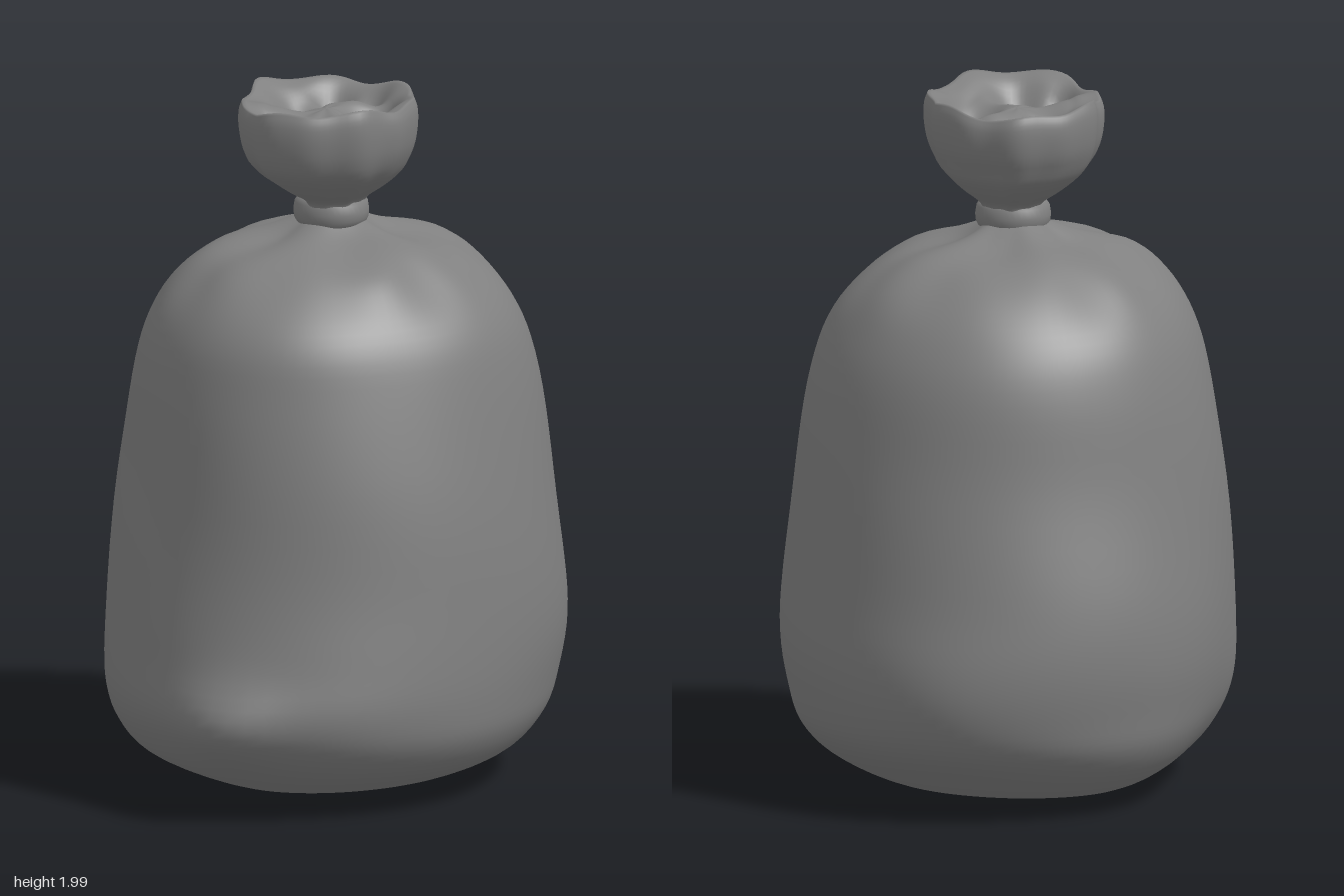
import * as THREE from 'three';

const TAU = Math.PI * 2;
const material = new THREE.MeshStandardMaterial({ color: 0x808080, side: THREE.DoubleSide });

// Smooth closed-ring surface: point(a, t) with angle a and t from 0 to 1
function loft(name, segments, rows, point) {
  const pos = [], index = [];
  for (let j = 0; j <= rows; j++) {
    for (let i = 0; i < segments; i++) pos.push(...point((i / segments) * TAU, j / rows));
  }
  for (let j = 0; j < rows; j++) {
    for (let i = 0; i < segments; i++) {
      const k = (i + 1) % segments;
      const a = j * segments + i, b = j * segments + k, c = b + segments, d = a + segments;
      index.push(a, b, c, a, c, d);
    }
  }
  const geometry = new THREE.BufferGeometry();
  geometry.setAttribute('position', new THREE.Float32BufferAttribute(pos, 3));
  geometry.setIndex(index);
  geometry.computeVertexNormals();
  const mesh = new THREE.Mesh(geometry, material);
  mesh.name = name;
  return mesh;
}

const cubic = (a, b, c, d, t) =>
  b + 0.5 * t * (c - a + t * (2 * a - 5 * b + 4 * c - d + t * (3 * (b - c) + d - a)));

// Catmull-Rom through equally spaced values, open or closed
function sample(values, u, closed) {
  const n = values.length;
  const k = closed ? Math.floor(u) : Math.min(Math.floor(u), n - 2);
  const at = (i) => values[closed ? (i + n) % n : Math.min(Math.max(i, 0), n - 1)];
  return cubic(at(k - 1), at(k), at(k + 1), at(k + 2), u - k);
}

const bump = (x, width) => Math.exp(-(x * x) / (width * width));
const angleGap = (a, b) => Math.atan2(Math.sin(a - b), Math.cos(a - b));

// Body cross-sections: height, then radius every 45 degrees from +x towards -z
const sections = [
  [0.01, 0.2, 0.2, 0.2, 0.2, 0.2, 0.22, 0.2, 0.2],
  [0.03, 0.38, 0.40, 0.42, 0.36, 0.37, 0.43, 0.39, 0.36],
  [0.10, 0.53, 0.55, 0.57, 0.49, 0.55, 0.60, 0.57, 0.53],
  [0.19, 0.63, 0.67, 0.65, 0.56, 0.64, 0.71, 0.66, 0.61],
  [0.30, 0.67, 0.725, 0.675, 0.60, 0.68, 0.76, 0.69, 0.64],
  [0.45, 0.69, 0.74, 0.69, 0.62, 0.675, 0.73, 0.69, 0.655],
  [0.65, 0.675, 0.71, 0.675, 0.62, 0.65, 0.695, 0.67, 0.645],
  [0.95, 0.635, 0.66, 0.62, 0.59, 0.61, 0.66, 0.63, 0.615],
  [1.20, 0.595, 0.62, 0.58, 0.55, 0.575, 0.62, 0.58, 0.57],
  [1.35, 0.54, 0.56, 0.53, 0.50, 0.53, 0.58, 0.53, 0.52],
  [1.46, 0.46, 0.47, 0.44, 0.42, 0.455, 0.49, 0.44, 0.43],
  [1.54, 0.34, 0.34, 0.32, 0.30, 0.35, 0.36, 0.33, 0.31],
  [1.58, 0.17, 0.18, 0.17, 0.17, 0.18, 0.18, 0.17, 0.17],
  [1.62, 0.09, 0.09, 0.09, 0.09, 0.09, 0.09, 0.09, 0.09],
];

function bodyPoint(a, t) {
  if (t === 0) return [0, 0, 0];
  const u = Math.max(0, (t * 61 - 1) / 60) * (sections.length - 1);
  const y = sample(sections.map((s) => s[0]), u, false);
  const spokes = [1, 2, 3, 4, 5, 6, 7, 8].map((i) => sample(sections.map((s) => s[i]), u, false));
  let r = sample(spokes, (a / TAU) * 8, true);
  // Pinched bottom corner and the blunter one opposite
  r += 0.055 * bump(angleGap(a, 3.89), 0.19) * bump(y - 0.27, 0.13);
  r += 0.012 * bump(angleGap(a, 0.72), 0.25) * bump(y - 0.38, 0.2);
  // Pleats gathered below the tie, soft dents in the sides
  r *= 1 + 0.025 * bump(y - 1.54, 0.1) * (Math.sin(7 * a + 1) + 0.6 * Math.sin(11 * a));
  r += 0.007 * Math.sin(3 * a + 5 * y) * Math.sin(4 * y) * bump(y - 0.7, 0.6);
  const fold = 0.01 * Math.sin(5 * a + 0.6) * bump(y - 1.575, 0.04);
  return [r * Math.cos(a), y + fold, -r * Math.sin(a)];
}

// Gathered mouth: outline radius every 45 degrees, and [height, scale] up to the rim
const rim = [0.265, 0.285, 0.28, 0.245, 0.255, 0.305, 0.28, 0.26];
const mouthProfile = [
  [1.65, 0.34], [1.68, 0.38], [1.72, 0.6], [1.77, 0.82], [1.83, 0.95], [1.89, 1.0], [1.94, 1.0], [1.97, 0.96],
];
// Hollows between the folds: x, z, depth, width
const pits = [
  [-0.12, 0.16, 0.1, 0.07], [0.09, 0.09, 0.1, 0.07], [-0.06, -0.09, 0.07, 0.06],
  [0.06, -0.13, 0.07, 0.06], [-0.22, 0.1, 0.07, 0.045], [0.16, -0.04, 0.05, 0.05],
];

function mouthPoint(a, t) {
  const outer = t <= 0.5;
  const u = Math.min(t * 2, 1) * (mouthProfile.length - 1);
  const inward = outer ? 0 : (t - 0.5) * 2;
  const h = sample(mouthProfile.map((p) => p[0]), u, false);
  const s = sample(mouthProfile.map((p) => p[1]), u, false) * (1 - inward);
  const pleat = 0.022 * Math.sin(7 * a + 0.5) + 0.014 * Math.sin(12 * a + 2);
  const r = s * sample(rim, (a / TAU) * 8, true) * (1 + pleat * (1 - inward));
  const shift = Math.min(1, Math.max(0, (h - 1.68) / 0.12));
  const x = r * Math.cos(a) - 0.03 * shift;
  const z = -r * Math.sin(a) + 0.015 + 0.022 * shift;
  // Wavy rim, crumpled folds inside
  const wave = 0.01 * Math.sin(3 * a + 2) + 0.008 * Math.sin(7 * a) + 0.02 * bump(angleGap(a, 4.8), 0.6);
  let y = h + wave * Math.max(0, (h - 1.8) / 0.17) * (1 - inward);
  if (!outer) {
    y -= 0.025 * Math.min(1, inward * 3);
    const depth = Math.min(1, inward * 4);
    for (const [px, pz, d, w] of pits) y -= depth * d * bump(Math.hypot(x - px, z - pz), w);
    y += depth * 0.01 * Math.sin(22 * x + 9 * z) * Math.cos(19 * z);
  }
  return [x, y, z];
}

export function createModel() {
  const group = new THREE.Group();
  group.name = 'tiedBag';
  group.add(loft('bagBody', 96, 61, bodyPoint));
  group.add(loft('gatheredMouth', 96, 48, mouthPoint));

  // Rounded tie around the neck
  const profile = [[0.08, 1.595], [0.097, 1.602], [0.106, 1.62], [0.108, 1.64], [0.104, 1.665], [0.093, 1.68], [0.07, 1.685]]
    .map(([r, y]) => new THREE.Vector2(r, y));
  const tie = new THREE.Mesh(new THREE.LatheGeometry(profile, 40), material);
  tie.name = 'neckTie';
  tie.position.set(-0.003, 0, 0.014);
  group.add(tie);
  return group;
}
